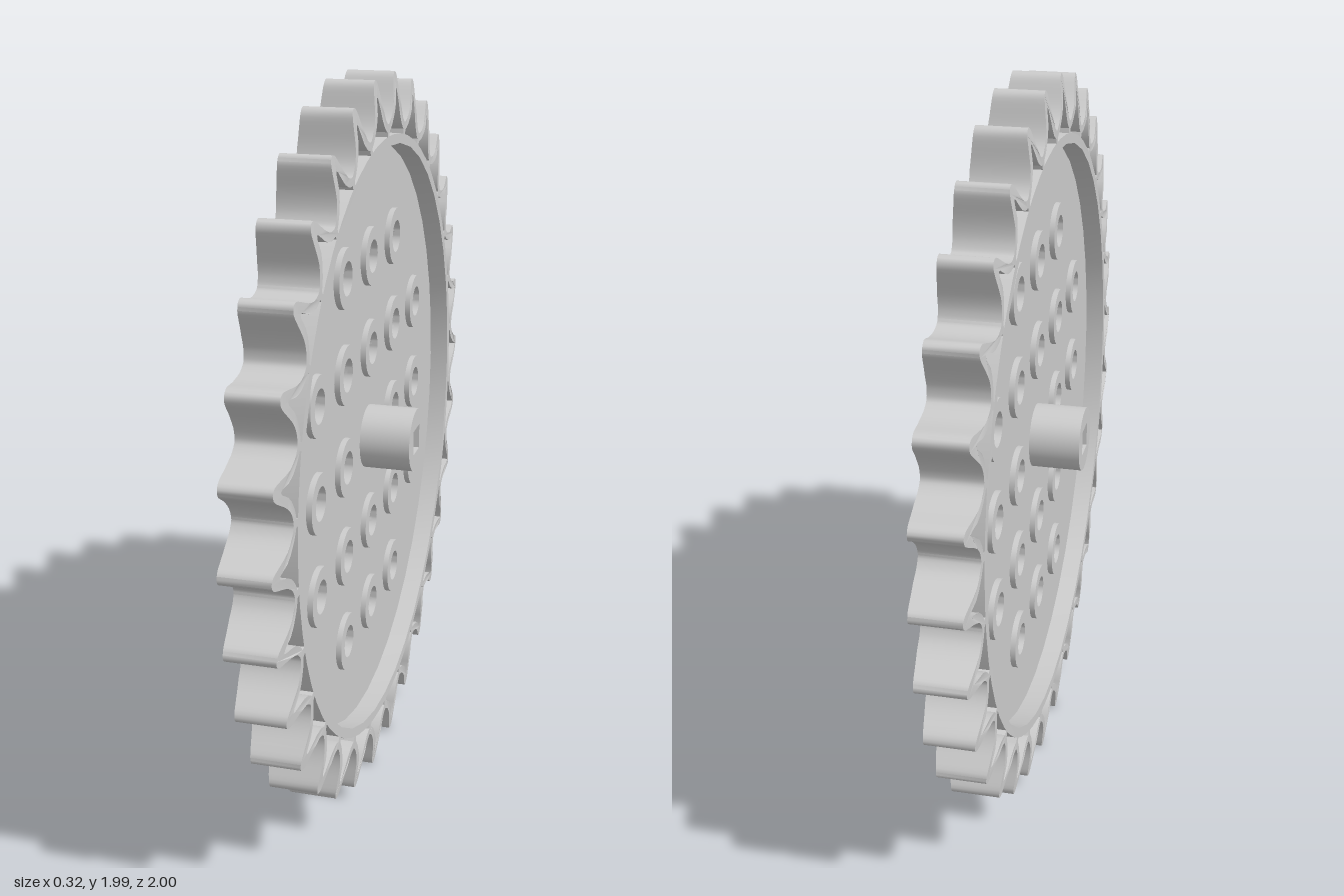
import * as THREE from 'three';
import { toCreasedNormals } from 'three/addons/utils/BufferGeometryUtils.js';

const TEETH = 30;
const PITCH = (Math.PI * 2) / TEETH;
const HOLE = 0.045;
const SPACING = 0.258;

// Half profiles of one tooth and its pocket: [radial, sideways]
const TOOTH = [[1, 0], [0.992, 0.015], [0.972, 0.024], [0.94, 0.034], [0.912, 0.045], [0.886, 0.061], [0.872, 0.077]];
const POCKET = [[0.957, 0], [0.95, 0.006], [0.915, 0.017], [0.89, 0.03], [0.865, 0.051], [0.852, 0.068], [0.847, 0.078],
  [0.834, 0.078], [0.837, 0.04]];

// Mirrors a half profile and turns it to the given angle
function mirrored(half, angle) {
  const left = half.slice(1).reverse().map(([u, v]) => [u, -v]);
  return [...left, ...half].map(([u, v]) =>
    new THREE.Vector2(u, v).rotateAround(new THREE.Vector2(), angle));
}

function toothOutline(scale = 1) {
  const points = [];
  for (let i = 0; i < TEETH; i++) {
    for (const p of mirrored(TOOTH, i * PITCH)) points.push(new THREE.Vector3(p.x, p.y, 0));
    // valley between two teeth
    const a = (i + 0.5) * PITCH;
    points.push(new THREE.Vector3(Math.cos(a) * 0.87, Math.sin(a) * 0.87, 0));
  }
  const curve = new THREE.CatmullRomCurve3(points, true);
  const outline = [];
  const count = points.length * 2;
  for (let i = 0; i < count; i++) {
    const p = curve.getPoint(i / count);
    outline.push(new THREE.Vector2(p.x * scale, p.y * scale));
  }
  return outline;
}

function circle(radius, x = 0, y = 0) {
  return new THREE.Path().absarc(x, y, radius, 0, Math.PI * 2, true);
}

function disc(radius) {
  return new THREE.Shape().absarc(0, 0, radius, 0, Math.PI * 2, false);
}

// Extrudes a shape symmetrically and lays its axis along x
function plate(shape, halfWidth) {
  const geometry = new THREE.ExtrudeGeometry(shape, { depth: halfWidth * 2, bevelEnabled: false, curveSegments: 20 });
  geometry.translate(0, 0, -halfWidth);
  return geometry.rotateY(Math.PI / 2);
}

export function createModel() {
  const group = new THREE.Group();
  const material = new THREE.MeshStandardMaterial({ color: 0xcccccc });
  const add = (name, geometry) => {
    const mesh = new THREE.Mesh(toCreasedNormals(geometry, 0.6), material);
    mesh.name = name;
    group.add(mesh);
    return mesh;
  };

  // Toothed rim with a pocket in every tooth
  const rimShape = new THREE.Shape(toothOutline());
  rimShape.holes.push(circle(0.812));
  for (let i = 0; i < TEETH; i++) {
    rimShape.holes.push(new THREE.Path(mirrored(POCKET, i * PITCH).reverse()));
  }
  const rim = plate(rimShape, 0.075);
  // Taper the rim towards the tooth tips
  const pos = rim.attributes.position;
  for (let i = 0; i < pos.count; i++) {
    const r = Math.hypot(pos.getY(i), pos.getZ(i));
    const taper = THREE.MathUtils.clamp((r - 0.91) / 0.09, 0, 1);
    pos.setX(i, pos.getX(i) * (1 - 0.14 * taper));
  }
  add('toothedRim', rim);

  // Thin web, which also forms the pocket floors
  const webShape = new THREE.Shape(toothOutline(0.985));
  webShape.holes.push(circle(0.07));
  const ringShape = disc(0.08);
  ringShape.holes.push(circle(HOLE));

  // Grid of holes with raised collars
  for (let i = -2; i <= 2; i++) {
    for (let j = -2; j <= 2; j++) {
      const corner = Math.abs(i) === 2 && Math.abs(j) === 2;
      if (corner || (i === 0 && j === 0)) continue;
      webShape.holes.push(circle(HOLE, i * SPACING, j * SPACING));
      add('holeCollar', plate(ringShape, 0.035)).position.set(0, j * SPACING, -i * SPACING);
    }
  }
  add('web', plate(webShape, 0.02));

  // Hub with a square axle hole
  const hubShape = disc(0.089);
  const s = 0.035;
  hubShape.holes.push(new THREE.Path([[-s, -s], [-s, s], [s, s], [s, -s]].map(([x, y]) => new THREE.Vector2(x, y))));
  add('hub', plate(hubShape, 0.16));

  group.position.y = 0.995;
  return group;
}
